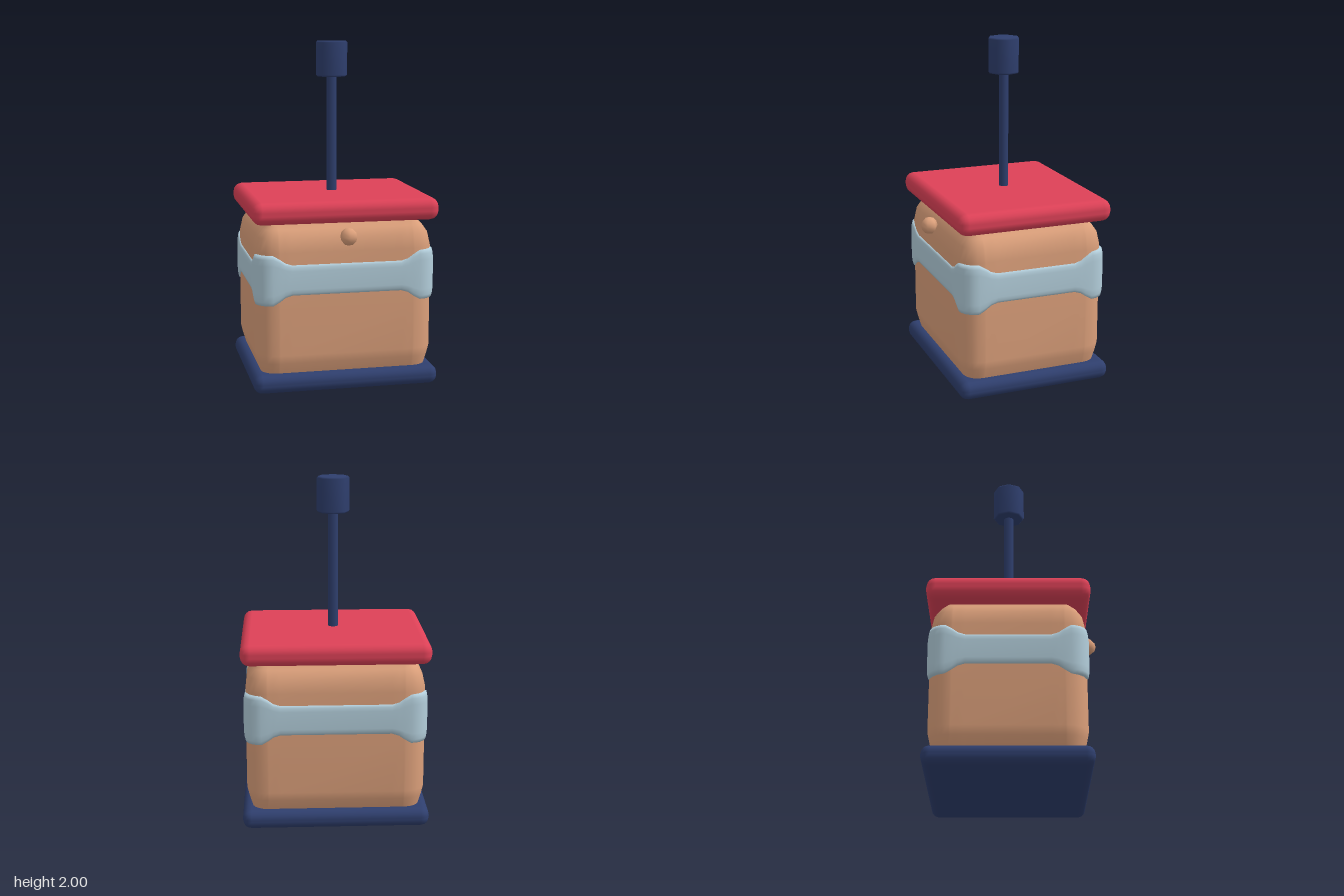
import * as THREE from 'three';
import { RoundedBoxGeometry } from 'three/addons/geometries/RoundedBoxGeometry.js';

const CZ = -0.03; // the box sits slightly behind the origin
const HX = 0.52, HZ = 0.438;

// Stations round a rounded rectangle: position, outward normal, distance from the corner
function plan(hx, hz, r, steps) {
  const out = [];
  for (let k = 0; k < 4; k++) {
    const sx = k === 0 || k === 3 ? 1 : -1, sz = k < 2 ? 1 : -1;
    for (let i = 0; i <= steps; i++) {
      const a = (k + i / steps) * Math.PI / 2, nx = Math.cos(a), nz = Math.sin(a);
      out.push({ x: sx * (hx - r) + nx * r, z: sz * (hz - r) + nz * r, nx, nz, e: 0 });
    }
    const a = (k + 1) * Math.PI / 2, nx = Math.round(Math.cos(a)), nz = Math.round(Math.sin(a));
    const [hn, ht] = k % 2 ? [hx, hz] : [hz, hx];
    for (const e of [0.13, 0.16, 0.2, 2 * ht - 0.2, 2 * ht - 0.16, 2 * ht - 0.13]) {
      const t = e - ht;
      out.push({ x: nx * hn - nz * t, z: nz * hn + nx * t, nx, nz, e: Math.min(e, 2 * ht - e) });
    }
  }
  return out;
}

// Skin of rings; each section function gives [outward offset, height] at a station
function loft(stations, sections) {
  const pos = [], index = [], n = stations.length;
  for (const section of sections) {
    for (const s of stations) {
      const [off, y] = section(s);
      pos.push(s.x + s.nx * off, y, s.z + s.nz * off);
    }
  }
  for (let j = 0; j < sections.length - 1; j++) {
    for (let i = 0; i < n; i++) {
      const a = j * n + i, c = j * n + (i + 1) % n;
      index.push(a, a + n, c, c, a + n, c + n);
    }
  }
  const g = new THREE.BufferGeometry();
  g.setAttribute('position', new THREE.Float32BufferAttribute(pos, 3));
  g.setIndex(index);
  g.computeVertexNormals();
  return g;
}

function material(name, color) {
  const m = new THREE.MeshStandardMaterial({ color });
  m.name = name;
  return m;
}

export function createModel() {
  const model = new THREE.Group();
  model.name = 'plungerBox';
  const navy = material('navy', 0x2f3f6e);
  const red = material('red', 0xdd4157);
  const tan = material('tan', 0xdca07b);
  const paleBlue = material('paleBlue', 0xb3cedb);

  const add = (name, geometry, mat, x, y, z) => {
    const mesh = new THREE.Mesh(geometry, mat);
    mesh.name = name;
    mesh.position.set(x, y, z);
    model.add(mesh);
    return mesh;
  };

  // Base and lid slabs
  add('base', new RoundedBoxGeometry(1.09, 0.11, 0.93, 2, 0.05), navy, 0, 0.055, CZ);
  add('lid', new RoundedBoxGeometry(1.09, 0.13, 0.93, 2, 0.055), red, 0, 1.045, CZ);

  // Body, rounded in towards the base and lid
  const profile = [[-0.05, 0.06], [-0.03, 0.11], [-0.012, 0.17], [0, 0.22], [0, 0.5], [0, 0.82],
    [-0.018, 0.9], [-0.05, 0.945], [-0.09, 0.98], [-0.11, 1.02]];
  add('body', loft(plan(HX, HZ, 0.12, 5), profile.map((p) => () => p)), tan, 0, 0, CZ);

  // Band, flaring taller and thicker round the corners
  const halfHeight = (e) => (e < 0.1 ? 0.145 : e < 0.14 ? 0.122 : e < 0.18 ? 0.1 : 0.0875);
  const bandSection = [[-0.04, -1], [0.002, -1], [0.008, -0.85], [0.012, -0.6], [0.012, 0.6],
    [0.008, 0.85], [0.002, 1], [-0.04, 1]];
  const band = loft(plan(HX, HZ, 0.09, 5), bandSection.map(([off, v]) => (s) => [off, 0.662 + v * halfHeight(s.e)]));
  add('band', band, paleBlue, 0, 0, CZ);

  // Button on the front
  add('button', new THREE.SphereGeometry(0.051, 6, 6), tan, 0, 0.908, 0.441).rotation.y = Math.PI / 6;

  // Plunger rod and its knob
  add('rod', new THREE.CylinderGeometry(0.03, 0.03, 0.72, 8), navy, 0, 1.44, CZ);
  const knob = [[0, 1.79], [0.086, 1.79], [0.095, 1.8], [0.095, 1.99], [0.086, 2], [0, 2]];
  add('knob', new THREE.LatheGeometry(knob.map(([x, y]) => new THREE.Vector2(x, y)), 8), navy, 0, 0, CZ);

  return model;
}
